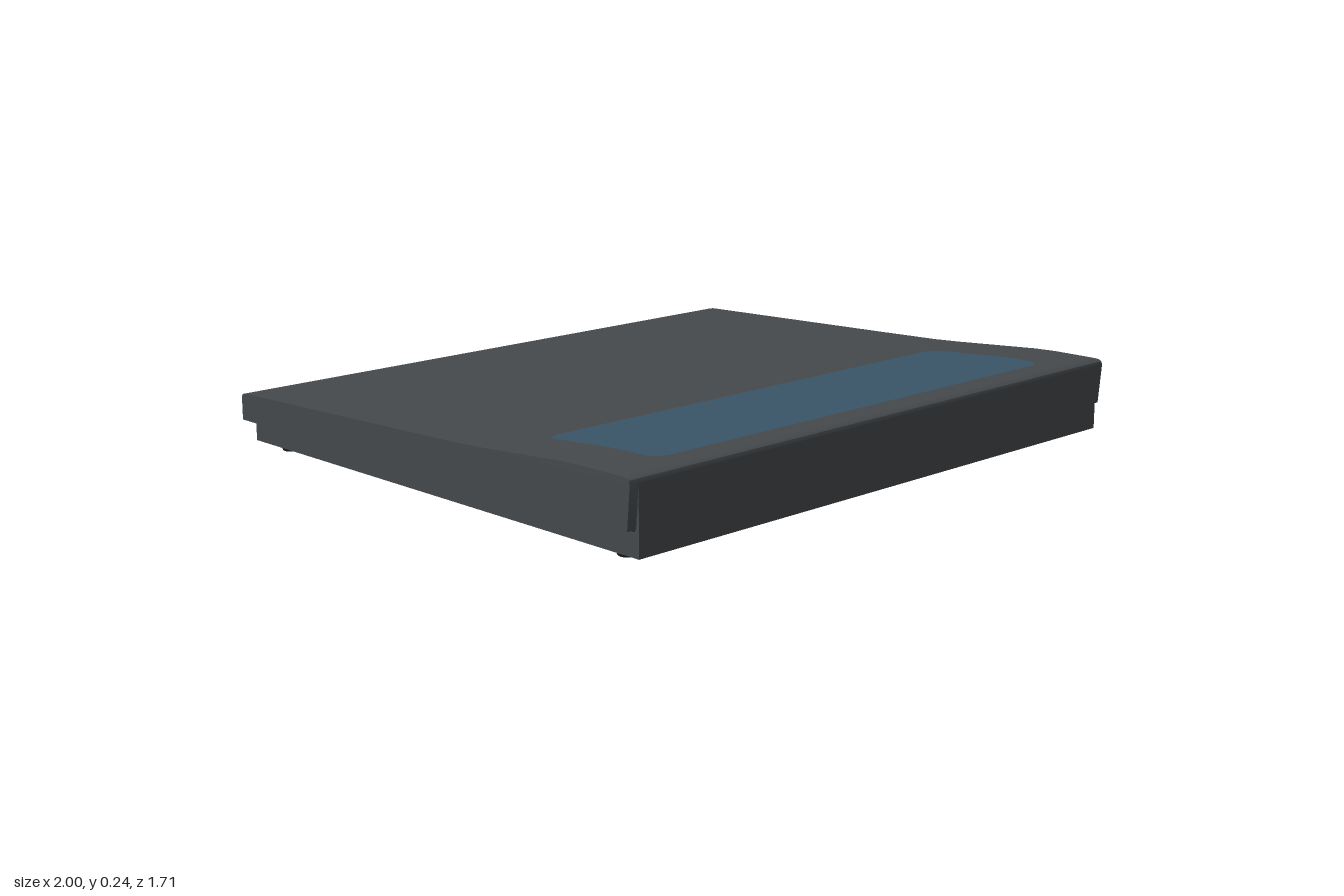
import * as THREE from 'three';
import { toCreasedNormals } from 'three/addons/utils/BufferGeometryUtils.js';

// Top contour of the lid as [z, y], front to back
const TOP = [[0.855, 0.222], [0.851, 0.232], [0.842, 0.237], [0.82, 0.238], [0.68, 0.238], [0.6, 0.235],
  [0.45, 0.224], [0.3, 0.213], [0.2, 0.207], [0, 0.2], [-0.835, 0.173], [-0.85, 0.17], [-0.855, 0.16]];

function topHeight(z) {
  for (let i = 1; i < TOP.length; i++) {
    const [z0, y0] = TOP[i - 1], [z1, y1] = TOP[i];
    if (z <= z0 && z >= z1) return y0 + (y1 - y0) * (z0 - z) / (z0 - z1);
  }
  return 0.16;
}

export function createModel() {
  const group = new THREE.Group();
  const shell = new THREE.MeshStandardMaterial({ color: 0x45494c });
  const dark = new THREE.MeshStandardMaterial({ color: 0x232527 });
  const blue = new THREE.MeshStandardMaterial({ color: 0x3a5567 });

  const add = (name, geometry, material, x = 0, y = 0, z = 0) => {
    const mesh = new THREE.Mesh(geometry, material);
    mesh.name = name;
    mesh.position.set(x, y, z);
    group.add(mesh);
    return mesh;
  };

  // Lid: side profile swept across the full width
  const profile = new THREE.Shape([...TOP, [-0.855, 0.09], [-0.57, 0.09], [0.845, 0.1]]
    .map(([z, y]) => new THREE.Vector2(z, y)));
  const lid = new THREE.ExtrudeGeometry(profile, { depth: 2, bevelEnabled: false });
  lid.translate(0, 0, -1).rotateY(-Math.PI / 2);
  add('lid', toCreasedNormals(lid, 0.6), shell);

  // Base tray, with a tall front plate and a dark seam under the lid
  add('base', new THREE.BoxGeometry(1.94, 0.064, 1.675), shell, 0, 0.057, 0.0075);
  add('frontPlate', new THREE.BoxGeometry(1.94, 0.197, 0.014), shell, 0, 0.1235, 0.848);
  add('seam', new THREE.BoxGeometry(1.925, 0.025, 1.66), dark, 0, 0.0975, 0.008);

  // Tapered feet
  for (const x of [-0.905, 0.905]) {
    for (const z of [-0.742, 0.745]) {
      add('foot', new THREE.CylinderGeometry(0.04, 0.026, 0.027, 24), dark, x, 0.0135, z);
    }
  }

  // Rounded blue panel that follows the curve of the lid
  const zBack = 0.34, zFront = 0.765, half = 0.815, r = 0.045;
  const panel = new THREE.PlaneGeometry(2 * half, zFront - zBack, 1, 60);
  panel.rotateX(-Math.PI / 2).translate(0, 0, (zFront + zBack) / 2);
  const p = panel.attributes.position;
  for (let i = 0; i < p.count; i++) {
    const z = p.getZ(i);
    const d = Math.max(0, r - Math.min(z - zBack, zFront - z));
    const w = half - r + Math.sqrt(Math.max(0, r * r - d * d));
    p.setXYZ(i, Math.sign(p.getX(i)) * w, topHeight(z) + 0.003, z);
  }
  panel.computeVertexNormals();
  add('touchPanel', panel, blue, -0.01);

  return group;
}
